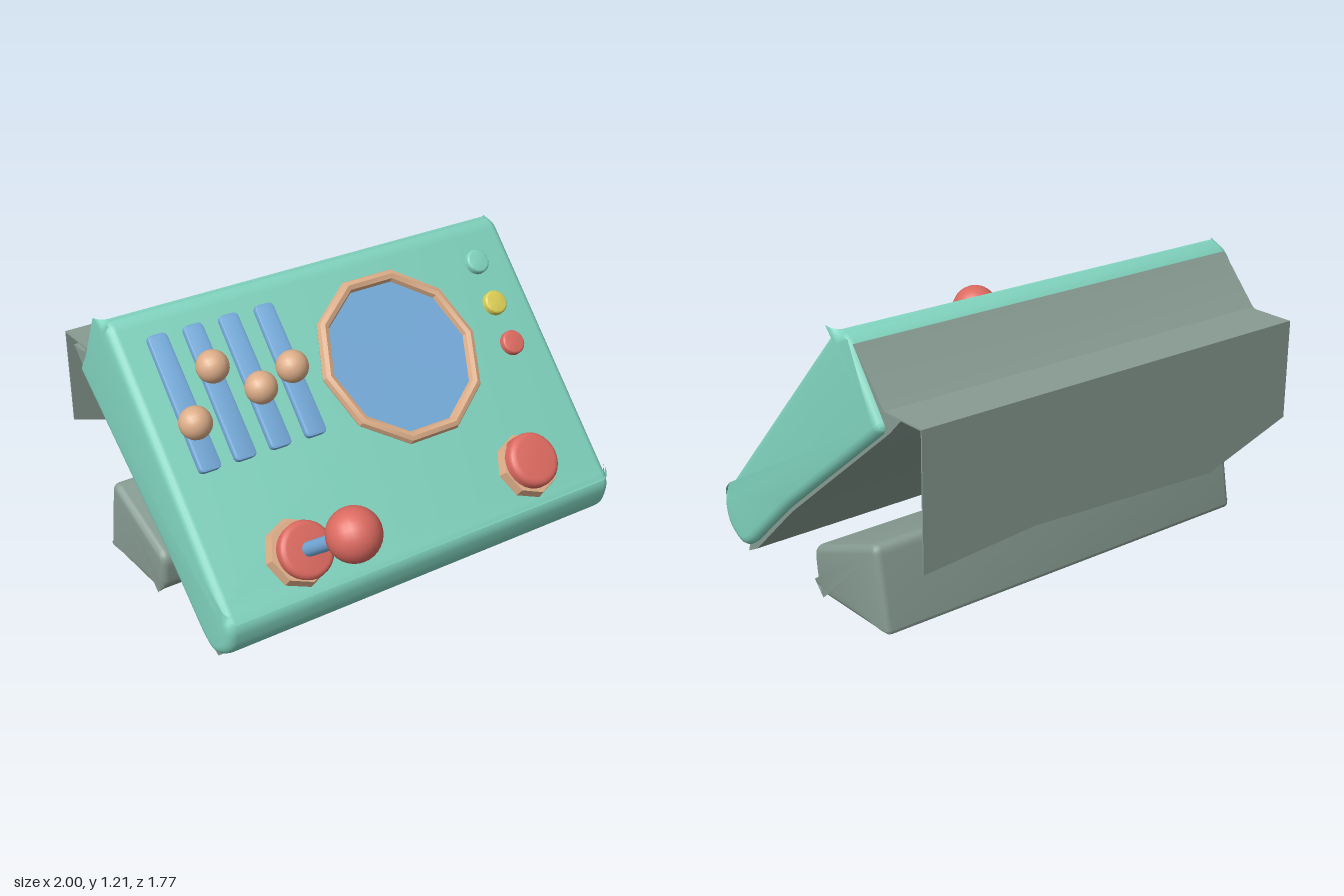
import * as THREE from 'three';
import { toCreasedNormals } from 'three/addons/utils/BufferGeometryUtils.js';

const mat = (name, color, side = THREE.FrontSide) => {
  const m = new THREE.MeshStandardMaterial({ color, side });
  m.name = name;
  return m;
};

// Closed outline from [a, b, radius] corners, each rounded by its radius
function roundedShape(corners) {
  const pts = corners.map(([a, b]) => new THREE.Vector2(a, b));
  const shape = new THREE.Shape();
  corners.forEach(([, , r], i) => {
    const p = pts[i];
    const prev = pts[(i + pts.length - 1) % pts.length];
    const next = pts[(i + 1) % pts.length];
    const a = p.clone().add(prev.clone().sub(p).setLength(r));
    const b = p.clone().add(next.clone().sub(p).setLength(r));
    if (i === 0) shape.moveTo(a.x, a.y);
    else shape.lineTo(a.x, a.y);
    if (r > 0) shape.quadraticCurveTo(p.x, p.y, b.x, b.y);
  });
  shape.closePath();
  return shape;
}

// Side profile in (z, y), extruded across x to +-half, with rounded ends
function acrossX(corners, half, bevel) {
  const geo = new THREE.ExtrudeGeometry(roundedShape(corners), {
    depth: 2 * (half - bevel), curveSegments: 8,
    bevelEnabled: bevel > 0, bevelSize: bevel, bevelThickness: bevel,
    bevelOffset: -bevel, bevelSegments: 4,
  });
  geo.translate(0, 0, -(half - bevel));
  geo.rotateY(-Math.PI / 2);
  return toCreasedNormals(geo, 0.6);
}

// Round knob turned about z, standing on z = 0, with a soft top edge
function knob(r, h, soft, bottom = r) {
  const pts = [new THREE.Vector2(bottom, 0)];
  for (let i = 0; i <= 4; i++) {
    const t = (i / 4) * Math.PI / 2;
    pts.push(new THREE.Vector2(r - soft + soft * Math.cos(t), h - soft + soft * Math.sin(t)));
  }
  pts.push(new THREE.Vector2(0, h));
  return new THREE.LatheGeometry(pts, 28).rotateX(Math.PI / 2);
}

export function createModel() {
  const teal = mat('teal', 0x80d3be);
  const blue = mat('blue', 0x76acdc);
  const red = mat('red', 0xdc6a60);
  const peach = mat('peach', 0xdcad88);
  const yellow = mat('yellow', 0xdccd55);
  const grey = mat('grey', 0x879b92, THREE.DoubleSide);

  const model = new THREE.Group();
  model.name = 'controlConsole';
  const add = (parent, name, geo, material, x = 0, y = 0, z = 0) => {
    const mesh = new THREE.Mesh(geo, material);
    mesh.name = name;
    mesh.position.set(x, y, z);
    parent.add(mesh);
    return mesh;
  };

  // Sloping housing
  add(model, 'housing', acrossX([
    [0.47, 0.265, 0.05], [0.515, 0.22, 0.05], [0.49, 0.09, 0.06], [0.37, 0.015, 0.06],
    [0.28, 0.07, 0.04], [0, 0.33, 0.05], [-0.68, 0.88, 0.04],
    [-0.455, 1.185, 0.06], [-0.38, 1.195, 0.05],
  ], 1, 0.04), teal);

  // Back cover: slanted rear, small ledge and underside
  add(model, 'backCover', acrossX([
    [0.36, 0, 0], [0.34, 0.06, 0], [0, 0.37, 0], [-0.6, 0.9, 0], [-0.46, 1.12, 0],
    [-0.476, 1.158, 0], [-0.665, 0.945, 0.02], [-0.76, 0.945, 0],
    [-0.69, 0.875, 0.02], [0, 0.312, 0.05], [0.29, 0.035, 0.03],
  ], 0.97, 0), grey);

  // Thin rear flap with an uneven lower edge
  const flap = new THREE.Shape();
  flap.moveTo(-0.95, 0.952);
  [[-0.95, 0.52], [-0.51, 0.38], [0.44, 0.425], [0.97, 0.385], [0.97, 0.952]]
    .forEach(([x, y]) => flap.lineTo(x, y));
  flap.closePath();
  add(model, 'rearFlap',
    new THREE.ExtrudeGeometry(flap, { depth: 0.006, bevelEnabled: false }), grey, 0, 0, -0.885);
  add(model, 'rearFlapTop', new THREE.BoxGeometry(1.92, 0.006, 0.225), grey, 0.01, 0.949, -0.7725);

  // Wedge foot behind the housing
  add(model, 'foot', acrossX([
    [-0.11, 0.2, 0.05], [-0.13, 0.045, 0.03], [-0.17, 0.003, 0.03],
    [-0.617, 0.003, 0.02], [-0.55, 0.37, 0.05],
  ], 0.95, 0.03), grey);

  // Control face: local x across, y up the slope, z out of the surface
  const face = new THREE.Group();
  face.name = 'controlFace';
  face.position.set(0, 0.775, 0);
  face.rotation.x = -0.742;
  model.add(face);

  // Ten-sided screen
  add(face, 'screen', new THREE.CircleGeometry(0.37, 10), blue, 0.22, 0.08, 0.012);
  add(face, 'screenBezel', toCreasedNormals(new THREE.TorusGeometry(0.372, 0.028, 8, 10), 0.5),
    peach, 0.22, 0.08, 0.012);

  // Slider tracks and ball handles
  const track = toCreasedNormals(new THREE.ExtrudeGeometry(roundedShape([
    [-0.05, -0.3, 0.025], [0.05, -0.3, 0.025], [0.045, 0.3, 0.025], [-0.045, 0.3, 0.025],
  ]), { depth: 0.02, bevelSize: 0.008, bevelThickness: 0.008, bevelOffset: -0.008, bevelSegments: 2 }), 0.6);
  const ball = new THREE.SphereGeometry(0.07, 20, 14);
  [[-0.815, 0.065], [-0.65, 0.265], [-0.482, 0.122], [-0.31, 0.168]].forEach(([x, y]) => {
    add(face, 'sliderTrack', track, blue, x, 0.165, 0);
    add(face, 'sliderBall', ball, peach, x, y, 0.048);
  });

  // Column of small buttons
  [[teal, 0.383], [yellow, 0.178], [red, -0.02]].forEach(([m, y]) =>
    add(face, 'smallButton', toCreasedNormals(knob(0.056, 0.035, 0.012), 0.6), m, 0.795, y, 0));

  // Octagonal collars for the joystick and the large button
  const collar = toCreasedNormals(
    new THREE.CylinderGeometry(0.137, 0.156, 0.07, 8).rotateX(Math.PI / 2), 0.5);
  [-0.597, 0.6].forEach((x) => add(face, 'collar', collar, peach, x, -0.56, 0.01));
  add(face, 'largeButton', toCreasedNormals(knob(0.124, 0.1, 0.03), 0.6), red, 0.6, -0.55, 0);

  // Joystick
  const stick = new THREE.Group();
  stick.name = 'joystick';
  stick.position.set(-0.595, -0.56, 0);
  stick.rotation.x = 0.1;
  face.add(stick);
  add(stick, 'joystickBase', toCreasedNormals(knob(0.122, 0.11, 0.025, 0.105), 0.6), red);
  add(stick, 'joystickShaft',
    new THREE.CylinderGeometry(0.031, 0.031, 0.4, 16).rotateX(Math.PI / 2), blue, 0, 0, 0.27);
  add(stick, 'joystickBall', new THREE.SphereGeometry(0.111, 24, 16), red, 0.003, 0, 0.497);

  return model;
}
